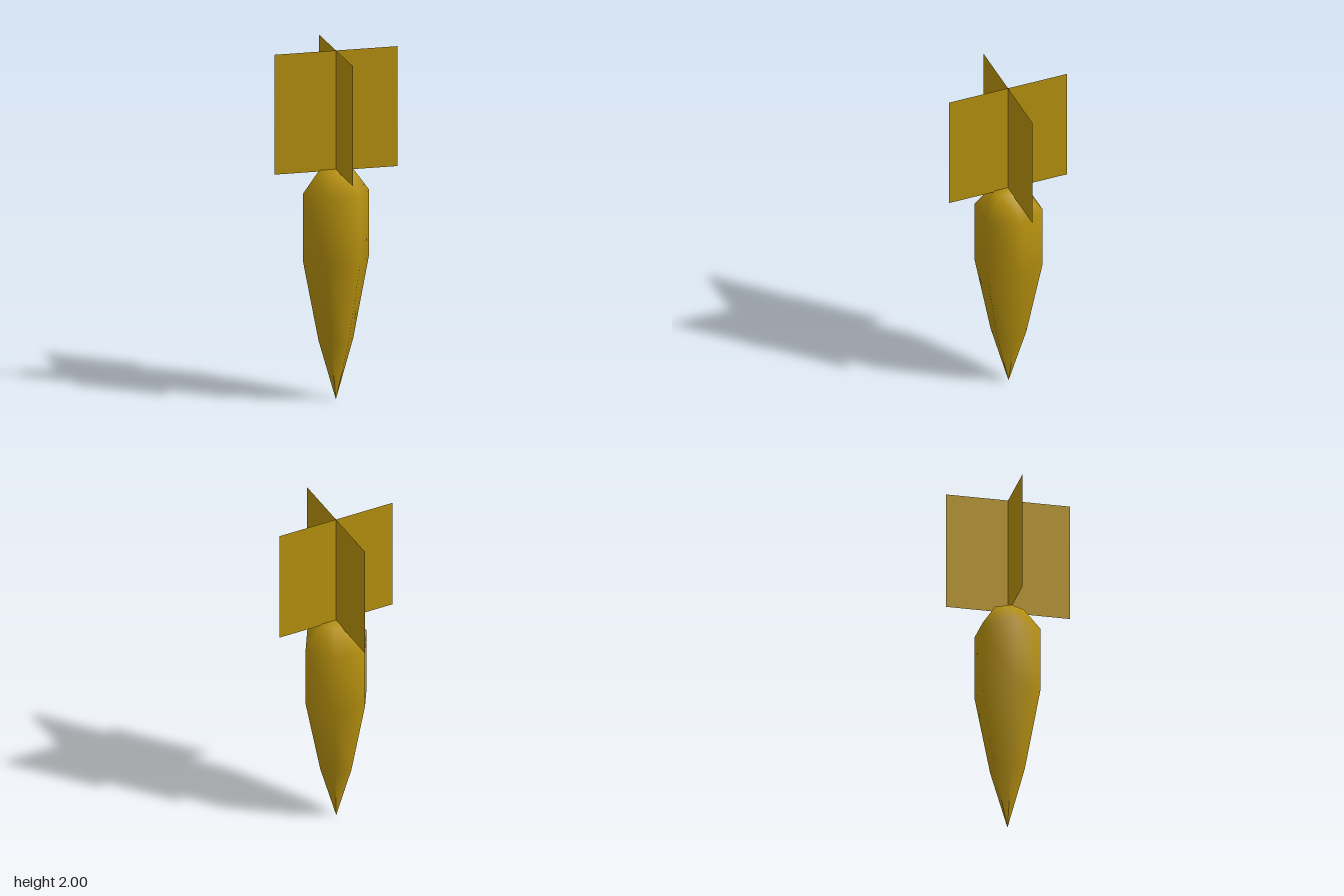
import * as THREE from 'three';

export function createModel() {
  const model = new THREE.Group();
  const gold = new THREE.MeshStandardMaterial({ color: 0xb8920f });
  const finGold = gold.clone();
  finGold.side = THREE.DoubleSide;

  // Six-sided pointed body, smoothly shaded, corners on the x axis
  const profile = [[0, 0], [0.1, 0.345], [0.19, 0.81], [0.19, 1.19], [0.095, 1.32], [0, 1.32]]
    .map(([r, y]) => new THREE.Vector2(r, y));
  const body = new THREE.Mesh(new THREE.LatheGeometry(profile, 6, Math.PI / 2), gold);
  body.name = 'body';
  body.position.z = -0.003;
  model.add(body);

  // Two crossed thin sheets form the four tail fins
  const finBottom = 1.313, finTop = 2, finWidth = 0.706;
  const finGeometry = new THREE.PlaneGeometry(finWidth, finTop - finBottom);
  [['crossFin', 0], ['lengthFin', Math.PI / 2]].forEach(([name, turn]) => {
    const fin = new THREE.Mesh(finGeometry, finGold);
    fin.name = name;
    fin.position.y = (finBottom + finTop) / 2;
    fin.rotation.y = turn;
    model.add(fin);
  });

  return model;
}
